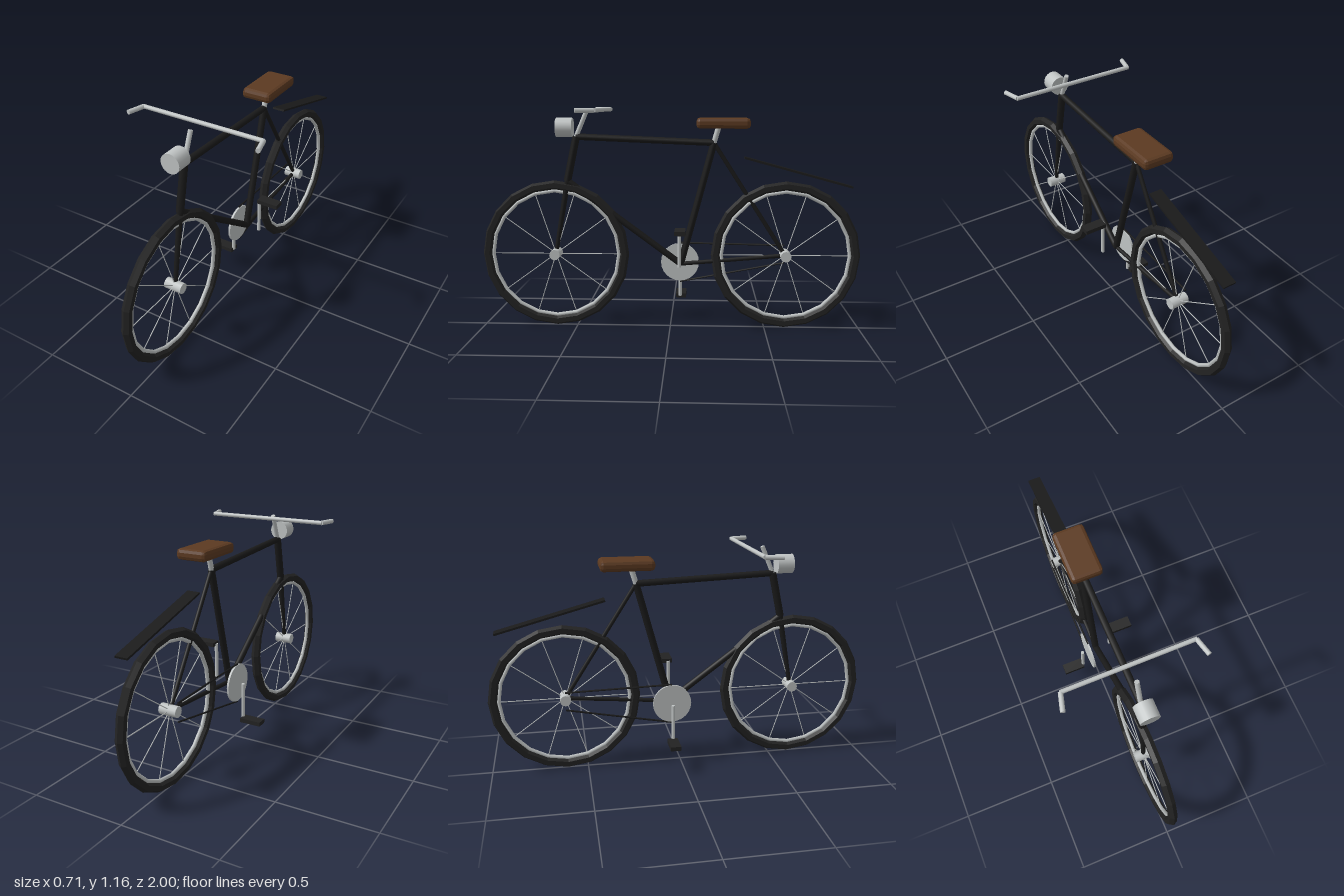
import * as THREE from 'three';
import { RoundedBoxGeometry } from 'three/addons/geometries/RoundedBoxGeometry.js';

const material = (name, color, flatShading = false) => {
  const m = new THREE.MeshStandardMaterial({ color, flatShading });
  m.name = name;
  return m;
};

export function createModel() {
  const black = material('frame black', 0x1a1a1a);
  const rubber = material('rubber', 0x222222, true);
  const metal = material('bright metal', 0xc0c4c4);
  const leather = material('brown leather', 0x5c3a21, true);

  const bike = new THREE.Group();
  bike.name = 'bicycle';

  function add(name, geometry, mat, x = 0, y = 0, z = 0, parent = bike) {
    const mesh = new THREE.Mesh(geometry, mat);
    mesh.name = name;
    mesh.position.set(x, y, z);
    parent.add(mesh);
    return mesh;
  }

  // Straight tube from point a to point b, optionally tapered
  function tube(name, a, b, rA, mat, rB = rA, sides = 10, parent = bike) {
    const start = new THREE.Vector3(...a), end = new THREE.Vector3(...b);
    const dir = end.clone().sub(start);
    const mesh = add(name, new THREE.CylinderGeometry(rB, rA, dir.length(), sides), mat, 0, 0, 0, parent);
    mesh.position.copy(start).add(end).multiplyScalar(0.5);
    mesh.quaternion.setFromUnitVectors(new THREE.Vector3(0, 1, 0), dir.normalize());
    return mesh;
  }

  // Wheels: tyre, rim, hub and ten spokes
  function wheel(name, z) {
    const g = new THREE.Group();
    g.name = name;
    g.position.set(0, 0.4, z);
    bike.add(g);
    add('tyre', new THREE.TorusGeometry(0.367, 0.0245, 6, 20), rubber, 0, 0, 0, g).rotation.y = Math.PI / 2;
    add('rim', new THREE.TorusGeometry(0.337, 0.01, 6, 20), metal, 0, 0, 0, g).rotation.y = Math.PI / 2;
    add('hub', new THREE.CylinderGeometry(0.028, 0.028, 0.094, 12), metal, 0, 0, 0, g).rotation.z = Math.PI / 2;
    for (let i = 0; i < 10; i++) {
      const a = i * Math.PI / 5;
      tube('spoke', [0, 0, 0], [0, 0.337 * Math.sin(a), 0.337 * Math.cos(a)], 0.0025, metal, 0.0025, 5, g);
    }
  }
  wheel('frontWheel', 0.61);
  wheel('rearWheel', -0.605);

  // Frame joints
  const head = [0, 1.02, 0.49], crown = [0, 0.79, 0.54], seatJoint = [0, 0.99, -0.225];
  const bracket = [0, 0.35, -0.055], rearAxle = [0, 0.4, -0.605], frontAxle = [0, 0.4, 0.61];

  // Frame and fork
  tube('headTube', crown, head, 0.02, black);
  tube('topTube', head, seatJoint, 0.017, black);
  tube('downTube', crown, bracket, 0.017, black);
  tube('seatTube', bracket, seatJoint, 0.018, black);
  tube('seatStay', seatJoint, rearAxle, 0.011, black);
  tube('chainStay', bracket, rearAxle, 0.011, black);
  tube('fork', crown, frontAxle, 0.016, black, 0.011);

  // Seat
  tube('seatPost', seatJoint, [0, 1.075, -0.25], 0.014, metal);
  add('seat', new RoundedBoxGeometry(0.16, 0.054, 0.275, 1, 0.018), leather, 0, 1.091, -0.272);

  // Stem and handlebar
  tube('stem', head, [0, 1.16, 0.43], 0.012, metal);
  tube('handlebar', [-0.325, 1.158, 0.348], [0.325, 1.158, 0.348], 0.011, metal);
  for (const s of [-1, 1])
    tube('handleGrip', [s * 0.322, 1.158, 0.348], [s * 0.345, 1.158, 0.435], 0.012, metal);

  // Headlamp
  add('headlamp', new THREE.CylinderGeometry(0.05, 0.05, 0.085, 20), metal, 0, 1.067, 0.55).rotation.x = Math.PI / 2;

  // Chainring and both runs of the chain
  add('chainring', new THREE.CylinderGeometry(0.102, 0.102, 0.011, 24), metal, -0.046, 0.35, -0.05).rotation.z = Math.PI / 2;
  tube('upperChain', [-0.046, 0.455, -0.05], [-0.046, 0.445, -0.605], 0.005, black, 0.005, 6);
  tube('lowerChain', [-0.046, 0.243, -0.05], [-0.046, 0.35, -0.605], 0.005, black, 0.005, 6);

  // Cranks and pedals, left one up and right one down
  for (const s of [-1, 1]) {
    const y = 0.35 + s * 0.196;
    tube('crank', [s * 0.081, 0.35, -0.05], [s * 0.081, y, -0.05], 0.0095, metal);
    add('pedal', new THREE.BoxGeometry(0.116, 0.022, 0.055), rubber, s * 0.139, y, -0.055);
  }

  // Sloping flat mudguard above the rear wheel
  add('rearMudguard', new THREE.BoxGeometry(0.066, 0.01, 0.575), black, 0, 0.839, -0.662)
    .rotation.x = -Math.atan2(0.15, 0.555);

  return bike;
}
